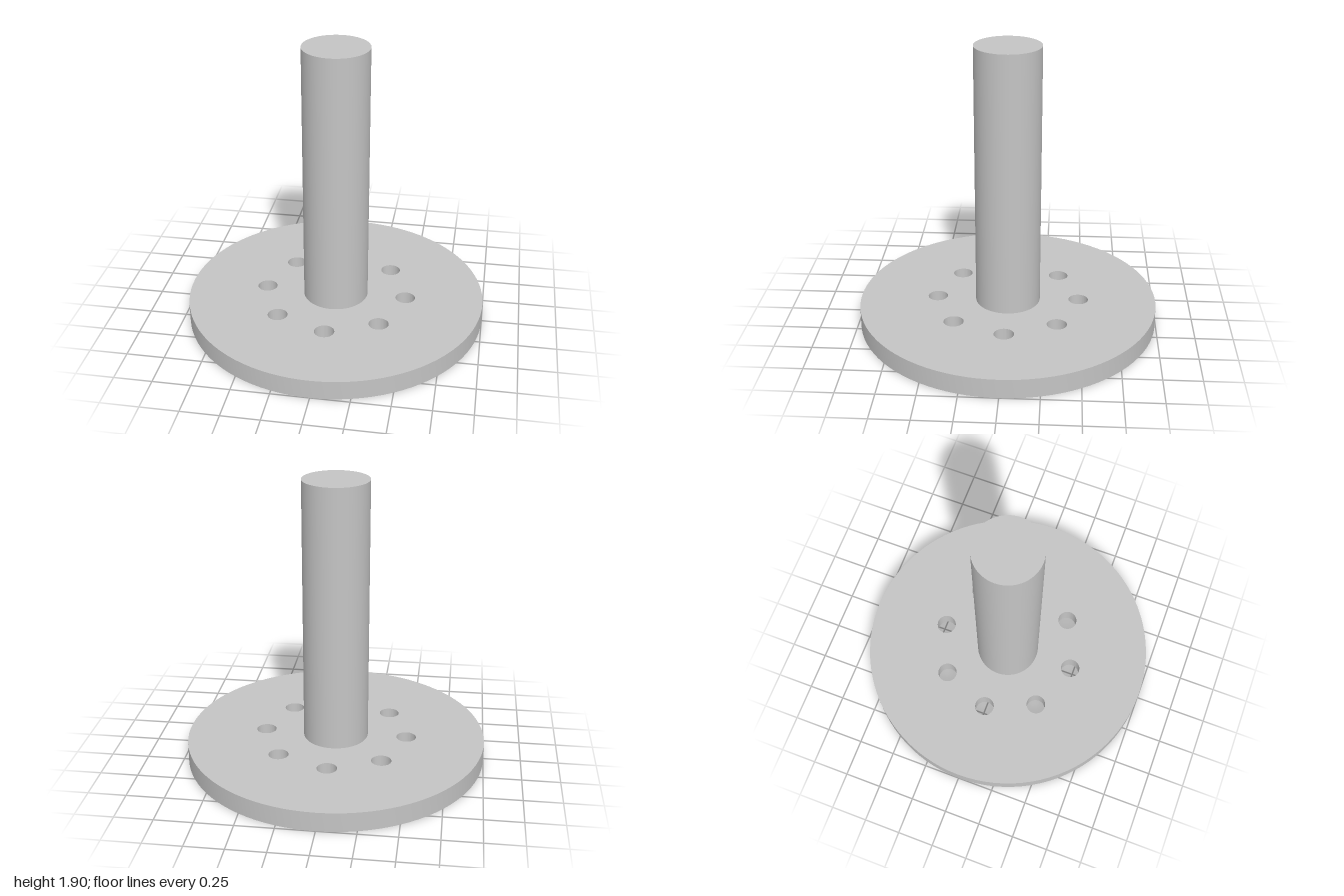
import * as THREE from 'three';
import { toCreasedNormals } from 'three/addons/utils/BufferGeometryUtils.js';

const SEGMENTS = 96;
const PLATE = 0.13;        // flange thickness
const GROOVE = 0.07;       // depth of the ring groove underneath
const GROOVE_IN = 0.755;
const GROOVE_OUT = 0.83;

export function createModel() {
  const model = new THREE.Group();
  model.name = 'flangedShaft';
  const grey = new THREE.MeshStandardMaterial({ color: 0xc4c4c4 });
  grey.name = 'grey';

  const add = (name, geometry) => {
    const mesh = new THREE.Mesh(geometry, grey);
    mesh.name = name;
    model.add(mesh);
    return mesh;
  };

  // Inner disc of the flange with a circle of eight bolt holes
  const disc = new THREE.Shape().absarc(0, 0, GROOVE_IN, 0, Math.PI * 2, false);
  for (let i = 0; i < 8; i++) {
    const a = (i * Math.PI) / 4;
    disc.holes.push(new THREE.Path().absarc(
      0.478 * Math.cos(a), 0.478 * Math.sin(a), 0.066, 0, Math.PI * 2, true));
  }
  const discGeometry = new THREE.ExtrudeGeometry(disc, {
    depth: PLATE, bevelEnabled: false, curveSegments: SEGMENTS / 2,
  });
  discGeometry.rotateX(-Math.PI / 2);
  add('flangeDisc', toCreasedNormals(discGeometry, 0.6));

  // Outer rim, including the roof and outer wall of the groove
  const profile = [
    [GROOVE_IN, GROOVE], [GROOVE_OUT, GROOVE], [GROOVE_OUT, 0],
    [1, 0], [1, PLATE], [GROOVE_IN, PLATE],
  ].map(([r, y]) => new THREE.Vector2(r, y));
  add('flangeRim', toCreasedNormals(new THREE.LatheGeometry(profile, SEGMENTS), 0.6));

  // Solid round shaft
  const height = 1.905 - PLATE;
  add('shaft', new THREE.CylinderGeometry(0.217, 0.217, height, SEGMENTS))
    .position.y = PLATE + height / 2;

  return model;
}
